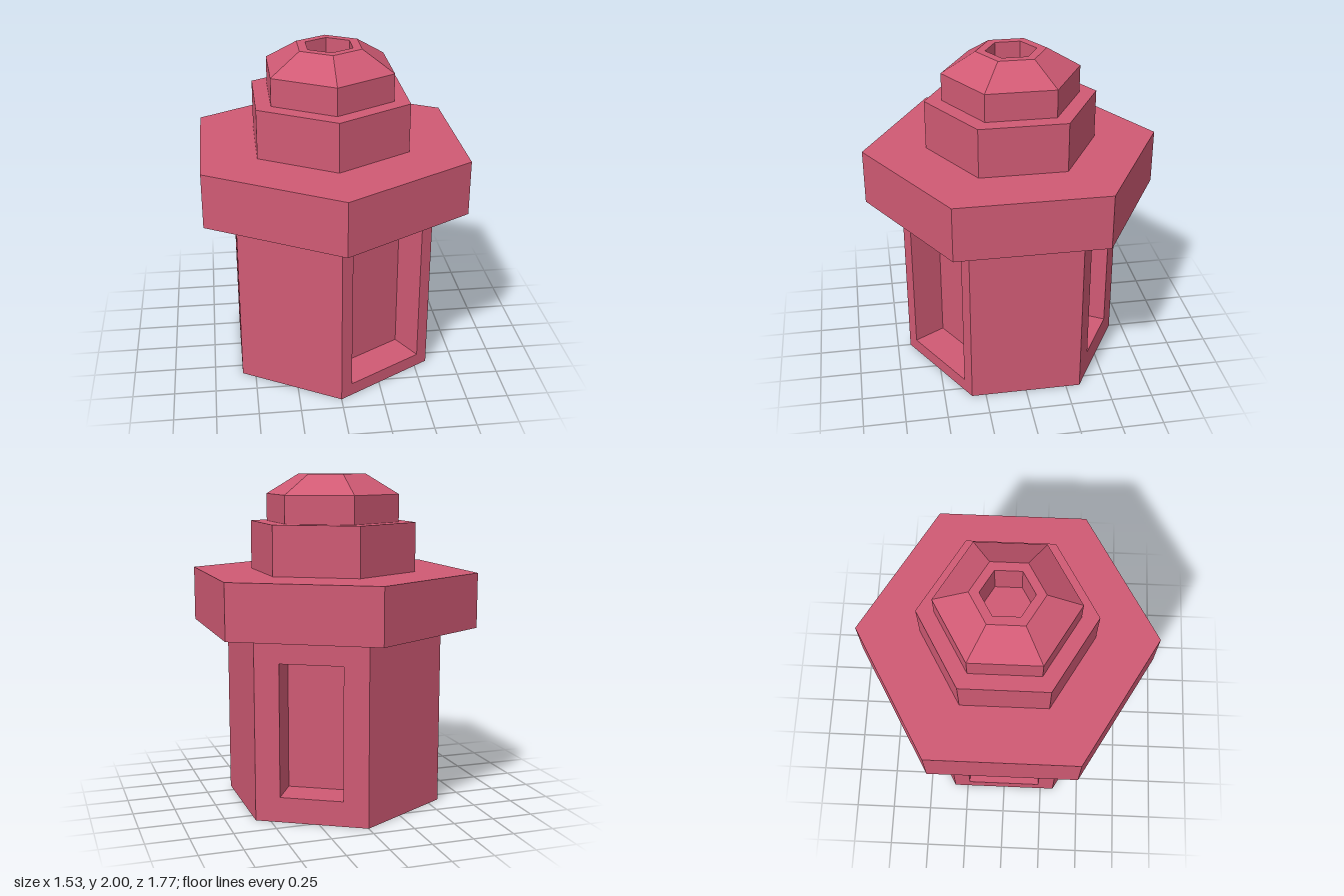
import * as THREE from 'three';

const BODY_R = 0.67, BODY_H = 1.09;
const APOTHEM = BODY_R * Math.cos(Math.PI / 6);

const material = new THREE.MeshStandardMaterial({ color: 0xd05a74, flatShading: true });

function addMesh(parent, name, geometry) {
  const mesh = new THREE.Mesh(geometry, material);
  mesh.name = name;
  parent.add(mesh);
  return mesh;
}

// Six-sided solid turned from an outline of [radius, height], bottom to top
function hexTurned(outline) {
  const points = outline.map(([r, y]) => new THREE.Vector2(r, y));
  const geometry = new THREE.LatheGeometry(points, 6).toNonIndexed();
  geometry.computeVertexNormals();
  return geometry;
}

// Rectangle path centred on x = 0
function rectangle(path, w, y0, y1) {
  path.moveTo(-w / 2, y0);
  path.lineTo(w / 2, y0);
  path.lineTo(w / 2, y1);
  path.lineTo(-w / 2, y1);
  path.closePath();
  return path;
}

// Inward-facing box with its front left open
function nicheGeometry({ width, y0, y1, depth }) {
  const geometry = new THREE.BoxGeometry(width, y1 - y0, depth);
  const index = Array.from(geometry.index.array);
  index.splice(24, 6);
  geometry.setIndex(index);
  geometry.scale(-1, 1, 1);
  geometry.computeVertexNormals();
  geometry.translate(0, (y0 + y1) / 2, -depth / 2);
  return geometry;
}

// Niches by side number; each is smaller than the one before
const niches = {
  0: { width: 0.517, y0: 0.08, y1: 1.01, depth: 0.21 },
  4: { width: 0.465, y0: 0.11, y1: 0.98, depth: 0.16 },
  2: { width: 0.375, y0: 0.15, y1: 0.94, depth: 0.21 },
};

export function createModel() {
  const model = new THREE.Group();
  model.name = 'hexagonalTower';

  // Body: six wall panels, every other one with a niche
  const body = new THREE.Group();
  body.name = 'body';
  model.add(body);
  for (let i = 0; i < 6; i++) {
    const side = new THREE.Group();
    side.name = 'side' + (i + 1);
    const angle = Math.PI / 6 + (i * Math.PI) / 3;
    side.rotation.y = angle;
    side.position.set(Math.sin(angle) * APOTHEM, 0, Math.cos(angle) * APOTHEM);
    body.add(side);

    const panel = rectangle(new THREE.Shape(), BODY_R, 0, BODY_H);
    const niche = niches[i];
    if (niche) {
      panel.holes.push(rectangle(new THREE.Path(), niche.width, niche.y0, niche.y1));
      addMesh(side, 'niche', nicheGeometry(niche));
    }
    addMesh(side, 'wall', new THREE.ShapeGeometry(panel));
  }

  // Underside of the body
  const base = new THREE.CircleGeometry(BODY_R, 6, Math.PI / 2);
  base.rotateX(Math.PI / 2);
  addMesh(body, 'base', base);

  // Wide eave slab
  addMesh(model, 'eave', hexTurned([[0, 1.09], [0.885, 1.09], [0.885, 1.42], [0, 1.42]]));

  // Upper tier
  addMesh(model, 'upperTier', hexTurned([[0, 1.42], [0.51, 1.42], [0.51, 1.715], [0, 1.715]]));

  // Bevelled cap with a hexagonal socket
  addMesh(model, 'cap', hexTurned([
    [0, 1.715], [0.408, 1.715], [0.408, 1.88], [0.207, 2],
    [0.15, 2], [0.15, 1.79], [0, 1.79],
  ]));

  return model;
}
